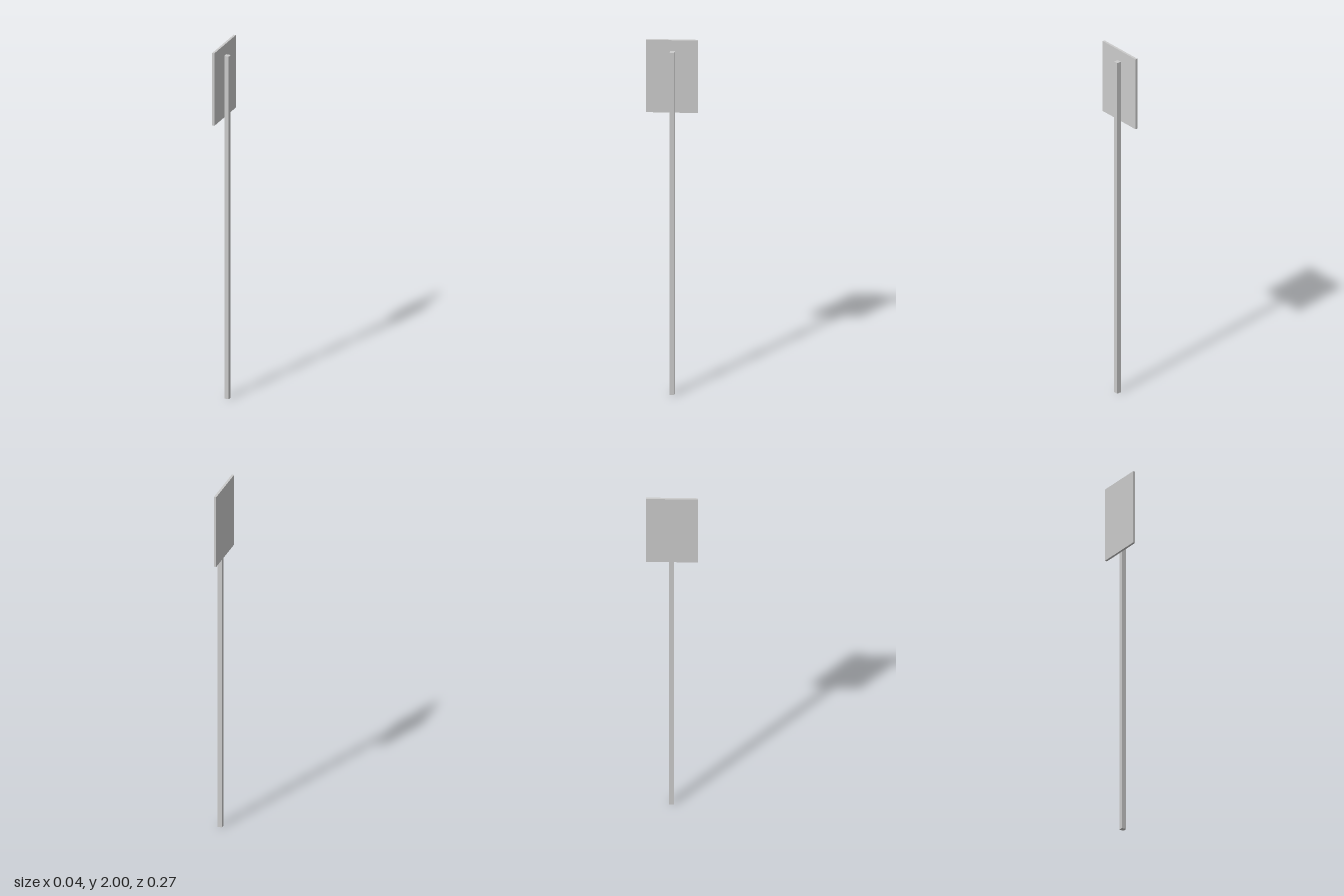
import * as THREE from 'three';

// Box given by its minimum and maximum corners
function block(name, min, max, material) {
  const size = max.map((v, i) => v - min[i]);
  const mesh = new THREE.Mesh(new THREE.BoxGeometry(...size), material);
  mesh.position.set(...max.map((v, i) => (v + min[i]) / 2));
  mesh.name = name;
  return mesh;
}

export function createModel() {
  const group = new THREE.Group();
  group.name = 'signPost';
  const grey = new THREE.MeshStandardMaterial({ color: 0xcccccc, flatShading: true });

  // Square post standing on the ground
  group.add(block('post', [-0.0065, 0, -0.015], [0.019, 1.938, 0.0105], grey));

  // Flat panel fixed to the post's side, rising slightly above it
  group.add(block('signPanel', [-0.019, 1.59, -0.135], [-0.0065, 2, 0.135], grey));

  return group;
}
